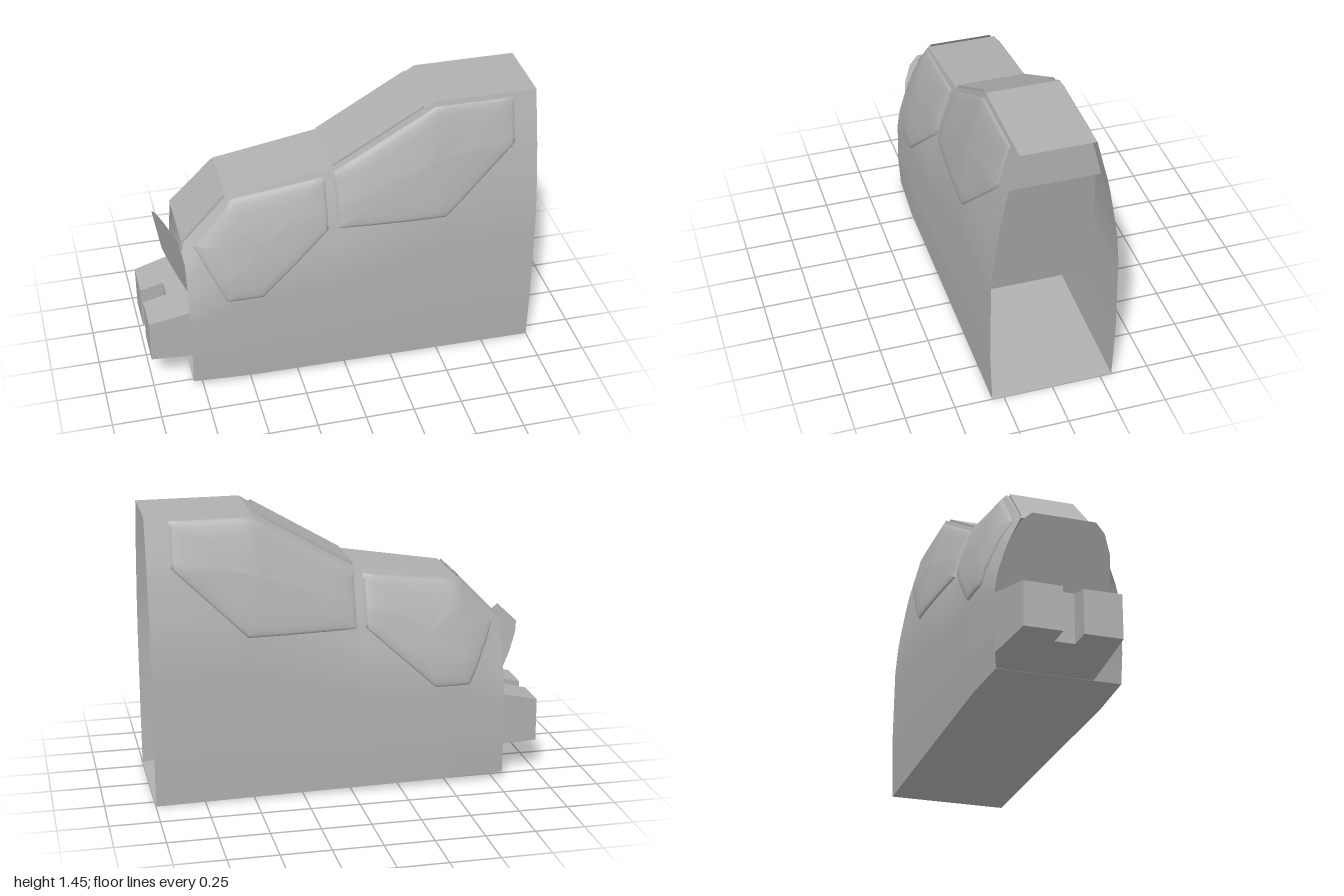
import * as THREE from 'three';

const grey = new THREE.MeshStandardMaterial({ color: 0xb0b0b0, side: THREE.DoubleSide });
grey.name = 'hullGrey';

// Piecewise-linear lookup through [key, value] points
function lerpTable(table, k) {
  for (let i = 1; i < table.length; i++) {
    const [a, va] = table[i - 1], [b, vb] = table[i];
    if (k <= b || i === table.length - 1) return va + (vb - va) * (k - a) / (b - a);
  }
}

const ROOF = [[-0.8, 0.82], [-0.57, 1.06], [-0.03, 1.15], [0.48, 1.45], [1, 1.45]];
const SECTION = [[0, 0.31], [0.2, 0.32], [0.5, 0.315], [0.62, 0.3], [0.82, 0.25], [1, 0.182]];
const SWELL = [[-0.8, 0.98], [-0.5, 1.03], [0, 1.02], [1, 1]];
const roofY = x => lerpTable(ROOF, x);
const floorY = x => 0.03 * (1 - x) / 1.8;

// Half width of the hull at a point of its side
function halfWidth(x, y) {
  const t = Math.min(1, Math.max(0, (y - floorY(x)) / (roofY(x) - floorY(x))));
  return lerpTable(SECTION, t) * (1 + (lerpTable(SWELL, x) - 1) * (1 - t * t));
}

// Surface through rows of [x, y, z] points
function surface(name, rows, flat = false) {
  const n = rows[0].length, index = [];
  for (let i = 0; i < rows.length - 1; i++) {
    for (let j = 0; j < n - 1; j++) {
      const a = i * n + j, b = a + n;
      index.push(a, b, a + 1, b, b + 1, a + 1);
    }
  }
  let geo = new THREE.BufferGeometry();
  geo.setAttribute('position', new THREE.Float32BufferAttribute(rows.flat(2), 3));
  geo.setIndex(index);
  if (flat) geo = geo.toNonIndexed();
  geo.computeVertexNormals();
  const mesh = new THREE.Mesh(geo, grey);
  mesh.name = name;
  return mesh;
}

// Side skin following the roofline
function sideWall(s) {
  const xs = ROOF.map(p => p[0]);
  for (let i = 1; i < 18; i++) xs.push(-0.8 + i * 0.1);
  xs.sort((a, b) => a - b);
  const rows = xs.map(x => Array.from({ length: 21 }, (_, j) => {
    const y = floorY(x) + (roofY(x) - floorY(x)) * j / 20;
    return [x, y, s * halfWidth(x, y)];
  }));
  return surface(s > 0 ? 'leftWall' : 'rightWall', rows);
}

// Domed window pane with a bevelled rim, laid on the side skin
function pane(name, corners, s) {
  const outline = [], steps = 8;
  corners.forEach(([x, y], i) => {
    const [nx, ny] = corners[(i + 1) % corners.length];
    for (let k = 0; k < steps; k++) outline.push([x + (nx - x) * k / steps, y + (ny - y) * k / steps]);
  });
  outline.push(outline[0]);
  const cx = corners.reduce((t, p) => t + p[0], 0) / corners.length;
  const cy = corners.reduce((t, p) => t + p[1], 0) / corners.length;
  const rings = [[1, -0.002], [1, 0.008], [0.96, 0.011], [0.88, 0.016], [0.7, 0.018], [0.4, 0.019], [0.01, 0.019]];
  const rows = rings.map(([f, lift]) => outline.map(([px, py]) => {
    const x = cx + (px - cx) * f, y = cy + (py - cy) * f;
    return [x, y, s * (halfWidth(x, y) + lift)];
  }));
  return surface(name, rows);
}

// Thin raised plate lying along the roofline
function roofPlate(name, a, b, wa, wb) {
  const dx = b[0] - a[0], dy = b[1] - a[1], l = Math.hypot(dx, dy);
  const ox = -dy / l * 0.012, oy = dx / l * 0.012;
  const ends = [[a[0], a[1], wa], [b[0], b[1], wb]];
  const rows = ends.map(([x, y, w]) => [
    [x, y, -w], [x + ox, y + oy, -w], [x + ox, y + oy, w], [x, y, w]]);
  return surface(name, rows, true);
}

// Foot tunnel tapers toward the nose
const FOOT_TOP = x => 0.44 + (x + 0.8) * 0.25;
const FOOT_SIDE = x => 0.24 + (x + 1) * 0.09;

function prong(s) {
  const geo = new THREE.BoxGeometry(1, 1, 1);
  const p = geo.attributes.position;
  for (let i = 0; i < p.count; i++) {
    const x = p.getX(i) < 0 ? -1 : -0.88;
    const outer = p.getZ(i) * s > 0;
    p.setXYZ(i, x, p.getY(i) < 0 ? 0.165 : FOOT_TOP(x), s * (outer ? FOOT_SIDE(x) : 0.05));
  }
  // Keep the outer faces outward on both sides
  geo.computeVertexNormals();
  const mesh = new THREE.Mesh(geo, grey);
  mesh.name = s > 0 ? 'leftProng' : 'rightProng';
  return mesh;
}

export function createModel() {
  const model = new THREE.Group();
  model.name = 'cockpit';

  const paneFront = [[-0.75, 0.82], [-0.55, 1.05], [-0.08, 1.11], [-0.08, 0.85], [-0.43, 0.53], [-0.61, 0.53]];
  const paneRear = [[-0.03, 0.85], [-0.03, 1.13], [0.48, 1.425], [0.88, 1.425], [0.88, 1.2], [0.52, 0.85]];
  for (const s of [1, -1]) {
    model.add(sideWall(s), pane('frontSidePane', paneFront, s), pane('rearSidePane', paneRear, s), prong(s));
  }

  // Roof and floor close the shell; both ends stay open
  model.add(surface('roof', ROOF.map(([x, y]) => [[x, y, -halfWidth(x, y)], [x, y, halfWidth(x, y)]]), true));
  const floorRows = [-0.8, -0.5, 0, 1].map(x => {
    const y = floorY(x), w = halfWidth(x, y);
    return [[x, y, -w], [x, y, w]];
  });
  model.add(surface('floor', floorRows, true));

  // Raised windscreen and roof hatch
  model.add(roofPlate('windscreen', [-0.795, 0.825], [-0.575, 1.055], 0.18, 0.165));
  model.add(roofPlate('roofHatch', [-0.03, 1.15], [0.43, 1.42], 0.175, 0.175));

  // Recessed rear bulkhead
  const bulkhead = [[0.89, 1.45, 0.182], [0.89, 1.18, 0.25], [0.89, 1.18, 0.222], [0.71, 0.45, 0.303]];
  model.add(surface('rearBulkhead', bulkhead.map(([x, y, w]) => [[x, y, w], [x, y, -w]]), true));

  // Leaning nose plate with clipped upper corners
  const nose = [[-0.9, 0.8, 0.16], [-0.88, 0.757, 0.21], [-0.84, 0.672, 0.25], [-0.76, 0.5, 0.275]];
  model.add(surface('nosePlate', nose.map(([x, y, w]) => [[x, y, -w], [x, y, w]])));

  // Foot tunnel behind the prongs, open at the rear
  const ring = x => {
    const w = FOOT_SIDE(x), t = FOOT_TOP(x);
    return [[x, 0.165, -w], [x, 0.165, w], [x, t, w], [x, t, -w], [x, 0.165, -w]];
  };
  model.add(surface('footTunnel', [ring(-0.88), ring(-0.5)], true));
  const [a, b, c, d] = ring(-0.88);
  model.add(surface('footTunnelEnd', [[a, b], [d, c]], true));

  return model;
}
